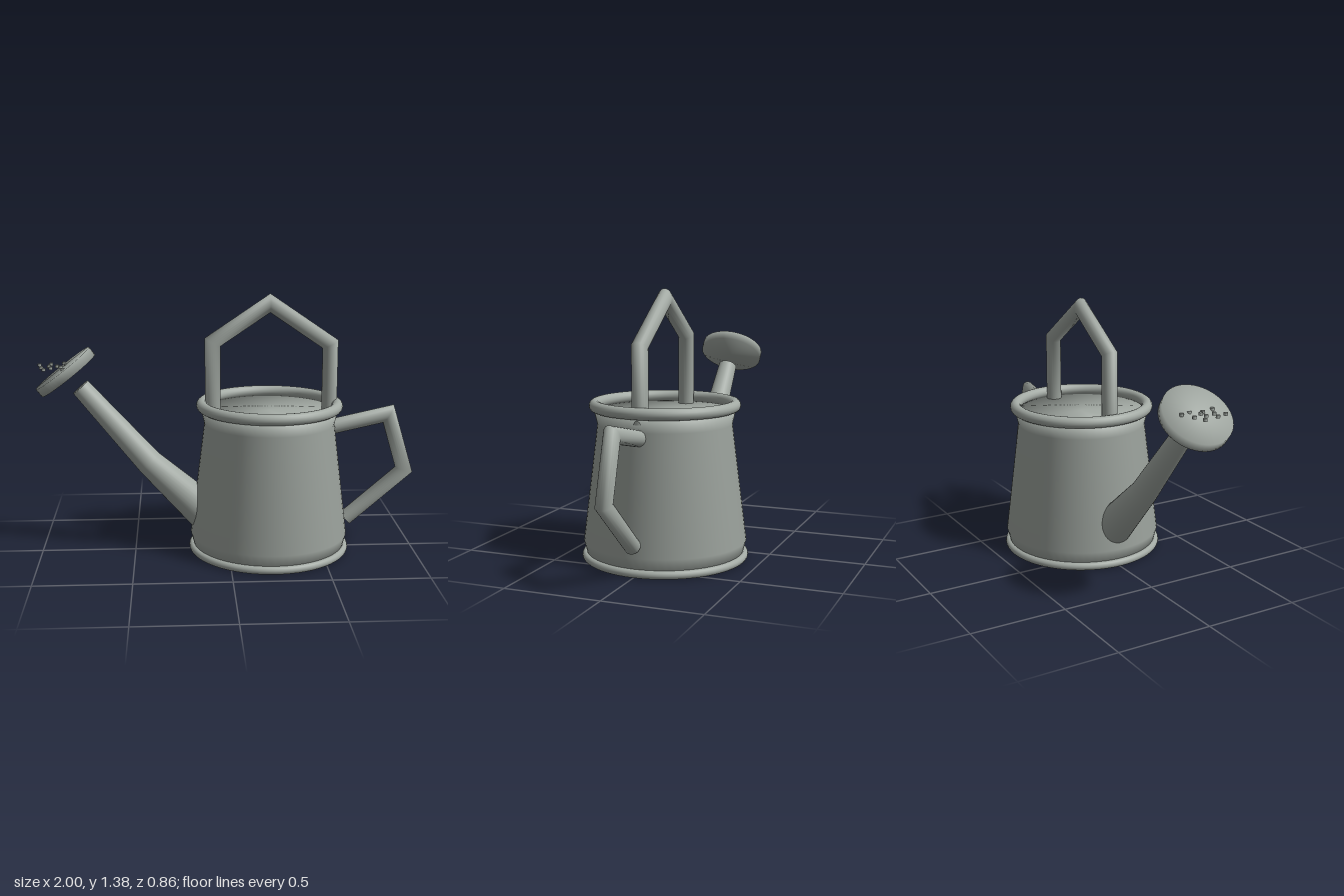
import * as THREE from 'three';

const metal = new THREE.MeshStandardMaterial({ color: 0xa3aaa4 });
metal.name = 'grey metal';

function part(name, geometry, parent) {
  const mesh = new THREE.Mesh(geometry, metal);
  mesh.name = name;
  parent.add(mesh);
  return mesh;
}

// Closed lathe whose normals are blended evenly across every profile corner, caps included
function smoothLathe(profile, segments) {
  const pts = profile.map(([r, y]) => new THREE.Vector2(r, y));
  const geo = new THREE.LatheGeometry(pts, segments);
  const edges = pts.slice(1).map((p, i) => {
    const d = p.clone().sub(pts[i]).normalize();
    return new THREE.Vector2(d.y, -d.x);
  });
  const rows = pts.map((_, i) =>
    (edges[i - 1] || edges[i]).clone().add(edges[i] || edges[i - 1]).normalize());
  const pos = geo.attributes.position;
  for (let i = 0; i < pos.count; i++) {
    const n = rows[i % pts.length];
    const a = Math.floor(i / pts.length) / segments * Math.PI * 2;
    geo.attributes.normal.setXYZ(i, n.x * Math.sin(a), n.y, n.x * Math.cos(a));
  }
  return geo;
}

// Round tube with mitred bends along points [x, y, radius] in the xy plane
function mitredTube(points, sides = 24) {
  const p = points.map(([x, y]) => new THREE.Vector2(x, y));
  const dirs = p.slice(1).map((q, i) => q.clone().sub(p[i]).normalize());
  const verts = [], index = [];
  points.forEach(([x, y, r], i) => {
    const before = dirs[i - 1] || dirs[i], after = dirs[i] || dirs[i - 1];
    const t = before.clone().add(after).normalize();
    const wide = r / t.dot(after);
    for (let j = 0; j < sides; j++) {
      const a = j / sides * Math.PI * 2;
      verts.push(x - t.y * Math.cos(a) * wide, y + t.x * Math.cos(a) * wide, Math.sin(a) * r);
    }
  });
  const last = (points.length - 1) * sides, start = points.length * sides;
  verts.push(p[0].x, p[0].y, 0, p.at(-1).x, p.at(-1).y, 0);
  for (let j = 0; j < sides; j++) {
    const k = (j + 1) % sides;
    for (let o = 0; o < last; o += sides) {
      index.push(o + j, o + k, o + sides + j, o + k, o + sides + k, o + sides + j);
    }
    index.push(start, k, j, start + 1, last + j, last + k);
  }
  const geo = new THREE.BufferGeometry();
  geo.setAttribute('position', new THREE.Float32BufferAttribute(verts, 3));
  geo.setIndex(index);
  geo.computeVertexNormals();
  return geo;
}

function ring(name, radius, tube, y, parent) {
  const mesh = part(name, new THREE.TorusGeometry(radius, tube, 16, 64), parent);
  mesh.rotation.x = Math.PI / 2;
  mesh.position.y = y;
}

export function createModel() {
  const can = new THREE.Group();
  can.name = 'wateringCan';

  // Tapered vessel with closed top and bottom, and its two rolled rims
  const vessel = new THREE.Group();
  vessel.name = 'vessel';
  vessel.position.x = 0.22;
  can.add(vessel);
  part('body', smoothLathe(
    [[0, 0.02], [0.4, 0.02], [0.42, 0.1], [0.345, 0.7], [0.36, 0.765], [0, 0.765]], 64), vessel);
  ring('topRim', 0.357, 0.03, 0.795, vessel);
  ring('baseRim', 0.408, 0.021, 0.021, vessel);

  // Handles
  const h = 0.041;
  part('topHandle', mitredTube([
    [-0.08, 0.74, h], [-0.08, 1.13, h], [0.22, 1.332, h], [0.538, 1.115, h], [0.538, 0.74, h]]), can);
  part('sideHandle', mitredTube([
    [0.54, 0.668, h], [0.858, 0.738, h], [0.952, 0.428, h], [0.638, 0.157, h]]), can);

  // Spout, bent once and narrowing upwards
  part('spout', mitredTube([
    [-0.1, 0.185, 0.105], [-0.42, 0.49, 0.07], [-0.77, 0.9, 0.051]], 32), can);

  // Tilted sprinkler disc
  const rose = part('rose', smoothLathe(
    [[0, -0.025], [0.176, -0.025], [0.176, 0.025], [0, 0.025]], 48), can);
  rose.position.set(-0.845, 0.981, 0);
  rose.rotation.z = 0.655;

  // Small level studs above the sprinkler disc
  const studs = new THREE.Group();
  studs.name = 'sprinklerStuds';
  can.add(studs);
  const studGeo = new THREE.CylinderGeometry(0.01, 0.01, 0.014, 10);
  [[-0.86, -0.09], [-0.925, -0.065], [-0.983, -0.048], [-0.845, -0.038], [-0.93, -0.005],
    [-0.888, -0.005], [-0.867, 0.022], [-0.965, 0.035], [-0.915, 0.05], [-0.947, 0.092],
    [-0.85, 0.087]].forEach(([x, z]) => part('stud', studGeo, studs).position.set(x, 1.01, z));

  return can;
}
